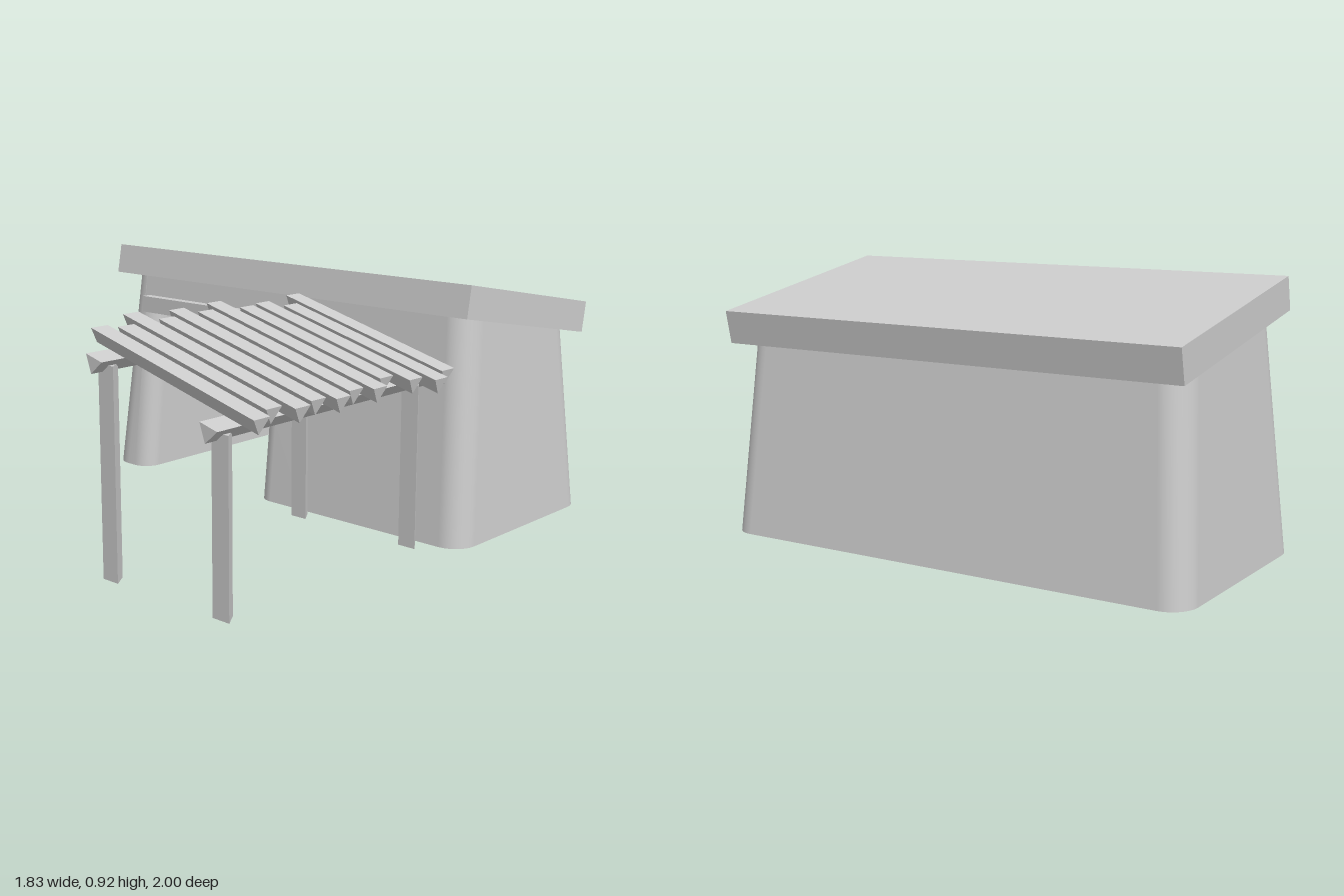
import * as THREE from 'three';

const mat = new THREE.MeshStandardMaterial({ color: 0xcccccc, side: THREE.DoubleSide });
const YAW = -0.0862, ROOF_TILT = 0.185, SLAT_TILT = 0.257;

function add(parent, name, geometry, x = 0, y = 0, z = 0) {
  const m = new THREE.Mesh(geometry, mat);
  m.name = name;
  m.position.set(x, y, z);
  parent.add(m);
  return m;
}

// Triangular timber: flat on top, ridge pointing down, running along z
function timber(width, depth, length) {
  const s = new THREE.Shape([
    new THREE.Vector2(-width / 2, 0), new THREE.Vector2(0, -depth), new THREE.Vector2(width / 2, 0)]);
  return new THREE.ExtrudeGeometry(s, { depth: length, bevelEnabled: false }).translate(0, 0, -length / 2);
}

function quad(a, b, c, d) {
  const g = new THREE.BufferGeometry();
  g.setAttribute('position', new THREE.Float32BufferAttribute([...a, ...b, ...c, ...d], 3));
  g.setIndex([0, 1, 2, 0, 2, 3]);
  g.computeVertexNormals();
  return g;
}

const halfX = y => 0.892 - 0.0625 * y;
const halfZ = y => 0.405 - 0.106 * y;
const underRoof = z => 0.752 + 0.187 * (z + 0.015);

// Door jamb positions
const DOOR_L = -0.69, DOOR_R = -0.06, JAMB = 0.07;

// Plan of the walls at height y: from the right-hand jamb round to the left-hand one
function plan(y) {
  const hx = halfX(y), hz = halfZ(y), r = 0.09, pts = [];
  const arc = (cx, cz, rad, a0, a1) => {
    for (let i = 0; i <= 8; i++) {
      const a = a0 + (a1 - a0) * i / 8;
      pts.push([cx + rad * Math.cos(a), cz + rad * Math.sin(a)]);
    }
  };
  const P = Math.PI;
  pts.push([DOOR_R, hz - 0.18]);
  arc(DOOR_R + JAMB, hz - JAMB, JAMB, P, P / 2);
  arc(hx - r, hz - r, r, P / 2, 0);
  arc(hx - r, -hz + r, r, 0, -P / 2);
  arc(-hx + r, -hz + r, r, -P / 2, -P);
  arc(-hx + r, hz - r, r, P, P / 2);
  arc(DOOR_L - JAMB, hz - JAMB, JAMB, P / 2, 0);
  pts.push([DOOR_L, -hz + 0.02]);
  return pts;
}

// Tapered walls, open below, trimmed along the roof slope
function wallGeometry() {
  const low = plan(0), pos = [], idx = [];
  const top = plan(0.75);
  low.forEach(([x, z], i) => {
    const [tx, tz] = top[i];
    // continue the leaning line until it reaches the roof
    let k = 1;
    for (let n = 0; n < 4; n++) k = underRoof(z + (tz - z) * k) / 0.75;
    pos.push(x, 0, z, x + (tx - x) * k, 0.75 * k, z + (tz - z) * k);
    if (i) {
      const a = 2 * i - 2;
      idx.push(a, a + 1, a + 2, a + 1, a + 3, a + 2);
    }
  });
  const g = new THREE.BufferGeometry();
  g.setAttribute('position', new THREE.Float32BufferAttribute(pos, 3));
  g.setIndex(idx);
  g.computeVertexNormals();
  return g;
}

function buildHouse() {
  const house = new THREE.Group();
  house.name = 'house';
  add(house, 'walls', wallGeometry());

  // Wall above the doorway and the sloping ceiling behind it
  const l = DOOR_L - JAMB, r = DOOR_R + JAMB, y0 = 0.655, y1 = 0.81;
  add(house, 'doorHeader', quad([l, y0, halfZ(y0)], [r, y0, halfZ(y0)], [r, y1, halfZ(y1)], [l, y1, halfZ(y1)]));
  const zb = -halfZ(0.6);
  add(house, 'doorCeiling', quad([l, y0, halfZ(y0)], [DOOR_L, 0.6, zb], [DOOR_R, 0.6, zb], [r, y0, halfZ(y0)]));
  add(house, 'lintel', new THREE.BoxGeometry(0.755, 0.065, 0.06), -0.36, 0.688, 0.335);

  const roof = add(house, 'roof', new THREE.BoxGeometry(1.747, 0.115, 0.776), 0, 0.795, -0.015);
  roof.rotation.x = -ROOF_TILT;
  return house;
}

function buildPergola() {
  const pergola = new THREE.Group();
  pergola.name = 'pergola';

  // Two beams, each on two posts
  for (const [x, y] of [[0.22, 0.748], [0.72, 0.612]]) {
    add(pergola, 'beam', timber(0.075, 0.055, 1.1), x, y, 0.905).rotation.z = -SLAT_TILT;
    const h = y - 0.03;
    for (const z of [0.479, 1.407])
      add(pergola, 'post', timber(0.07, 0.052, h), x, h / 2, z).rotation.x = Math.PI / 2;
  }

  // Sloping slats of uneven length
  const ends = [[0.13, 0.84], [0.2, 0.88], [0.15, 0.845], [0.16, 0.795], [0.09, 0.843], [0.14, 0.82],
    [0.096, 0.844], [0.144, 0.822], [0.072, 0.84], [0.15, 0.808], [0.128, 0.845]];
  ends.forEach(([tip, b], i) => {
    const a = tip + 0.013, x = (a + b) / 2;
    const slat = add(pergola, 'slat', timber(0.07, 0.054, (b - a) / Math.cos(SLAT_TILT)),
      x, 0.805 - Math.tan(SLAT_TILT) * (x - 0.22), 0.43 + i * 0.093);
    slat.rotation.set(0, Math.PI / 2, -SLAT_TILT, 'ZYX');
  });
  return pergola;
}

export function createModel() {
  const model = new THREE.Group();
  model.name = 'houseWithPergola';
  model.add(buildHouse(), buildPergola());
  model.rotation.y = YAW;
  model.position.z = -0.52;
  const root = new THREE.Group();
  root.name = 'model';
  root.add(model);
  return root;
}
